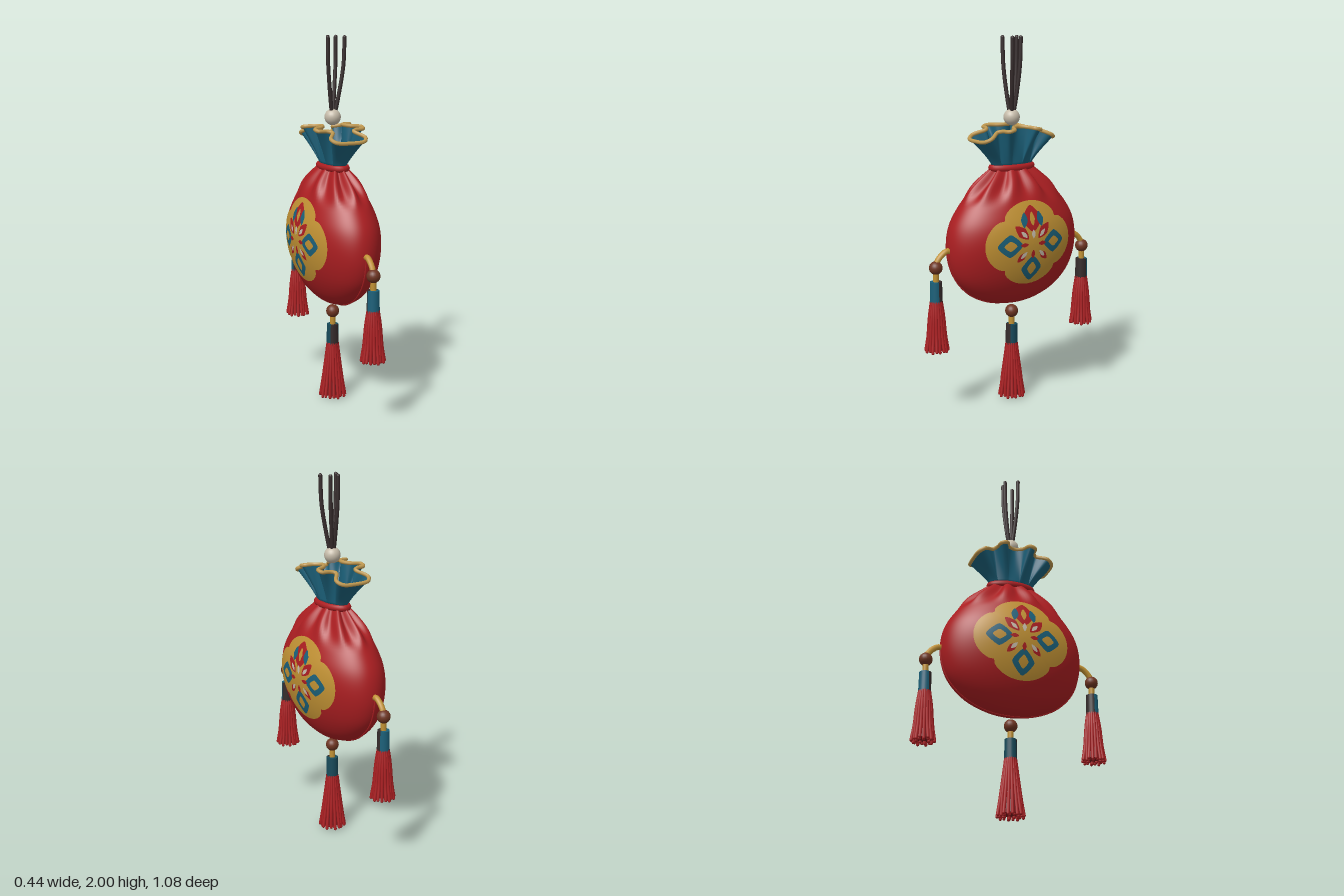
import * as THREE from 'three';

const mat = (name, color, side = THREE.FrontSide) => {
  const m = new THREE.MeshStandardMaterial({ color, side });
  m.name = name;
  return m;
};
const red = mat('red silk', 0xab1e21);
const darkRed = mat('deep red thread', 0x74181b);
const teal = mat('teal silk', 0x1b6079, THREE.DoubleSide);
const deepTeal = mat('deep teal', 0x174a5a);
const gold = mat('gold silk', 0xc29234);
const braid = mat('pale gold braid', 0xbf9850);
const brown = mat('wooden bead', 0x6e3522);
const dark = mat('dark cord', 0x352b2b);
const cream = mat('cream', 0xc6bcaa);

const V = (x, y, z) => new THREE.Vector3(x, y, z);

function add(parent, name, geometry, material) {
  const mesh = new THREE.Mesh(geometry, material);
  mesh.name = name;
  parent.add(mesh);
  return mesh;
}

function tube(parent, name, points, radius, material, closed = false, segs = 24) {
  const path = new THREE.CatmullRomCurve3(points, closed);
  return add(parent, name, new THREE.TubeGeometry(path, segs, radius, 8, closed), material);
}

// Surface closed in u, open in v; f(u, v) gives a point
function loft(nu, nv, f) {
  const pos = [], idx = [];
  for (let j = 0; j <= nv; j++) {
    for (let i = 0; i < nu; i++) pos.push(...f(i / nu, j / nv));
  }
  for (let j = 0; j < nv; j++) {
    for (let i = 0; i < nu; i++) {
      const a = j * nu + i, b = j * nu + (i + 1) % nu, c = a + nu, d = b + nu;
      idx.push(a, b, d, a, d, c);
    }
  }
  const g = new THREE.BufferGeometry();
  g.setAttribute('position', new THREE.Float32BufferAttribute(pos, 3));
  g.setIndex(idx);
  g.computeVertexNormals();
  return g;
}

// Pouch profile: half depth x, height y, half width z
const profile = new THREE.CatmullRomCurve3([
  [0, 0.55, 0], [0.043, 0.556, 0.09], [0.077, 0.577, 0.17], [0.125, 0.63, 0.27], [0.17, 0.72, 0.352],
  [0.199, 0.82, 0.388], [0.212, 0.92, 0.393], [0.206, 1.01, 0.374], [0.18, 1.1, 0.323],
  [0.145, 1.18, 0.254], [0.102, 1.25, 0.175], [0.056, 1.305, 0.112],
].map(p => V(...p)));

// Depth of the pouch wall at height y and width z
function wallX(y, z) {
  let lo = 0, hi = 1;
  for (let i = 0; i < 24; i++) {
    const m = (lo + hi) / 2;
    if (profile.getPoint(m).y < y) lo = m; else hi = m;
  }
  const p = profile.getPoint(lo);
  return p.x * Math.sqrt(Math.max(0, 1 - (z / p.z) ** 2));
}

// Thin star-shaped patch that follows the pouch wall on side s
function patch(parent, name, s, cy, cz, radius, lift, material, rings = 5) {
  add(parent, name, loft(64, rings, (u, v) => {
    const a = u * Math.PI * 2, [rz, ry] = radius(a);
    const y = cy + v * ry * Math.sin(a), z = cz + s * v * rz * Math.cos(a);
    return [s * (wallX(y, z) + lift), y, z];
  }), material);
}

// Leaf outline, pointed at both ends, turned by an angle
const leaf = (length, width, turn) => a => {
  const t = a - turn;
  const r = 1 / (Math.abs(Math.cos(t)) ** 1.4 / length + Math.abs(Math.sin(t)) ** 1.4 / width);
  return [r, r];
};

function embroidery(parent, s) {
  const g = new THREE.Group();
  g.name = s > 0 ? 'leftEmbroidery' : 'rightEmbroidery';
  parent.add(g);
  const cy = 0.918;
  patch(g, 'medallion', s, cy, 0, a => {
    const k = 0.83 + 0.17 * Math.abs(Math.cos(2 * a)) ** 0.6;
    return [0.265 * k, 0.228 * k];
  }, 0.004, gold, 16);
  const at = (r, q) => [cy + r * Math.sin(q), s * r * Math.cos(q)];
  for (let i = 0; i < 4; i++) {
    const t = i * Math.PI / 2, d = t + Math.PI / 4;
    const top = i === 1, upper = i < 2;
    patch(g, 'petal', s, ...at(0.135, t), leaf(0.07, 0.062, t), 0.006, top ? red : teal);
    patch(g, 'petalCentre', s, ...at(0.135, t), leaf(0.036, top ? 0.016 : 0.028, t), 0.0075, gold);
    patch(g, 'petalTip', s, ...at(0.055, t), leaf(0.024, 0.012, t), 0.0075, top ? cream : red);
    // Diagonal leaves, larger and red in the upper half
    patch(g, 'leaf', s, ...at(0.095, d), leaf(upper ? 0.052 : 0.036, upper ? 0.028 : 0.018, d), 0.0065, red);
    patch(g, 'leafTip', s, ...at(0.08, d), leaf(0.025, 0.011, d), 0.008, cream);
  }
  // Teal flanks of the top petal
  for (const m of [1, -1]) {
    const q = Math.PI / 2 + m * 0.36;
    patch(g, 'petalFlank', s, ...at(0.14, q), leaf(0.04, 0.02, q - m * 0.5), 0.0075, teal);
  }
}

// Bead, stem, two-tone band and skirt; the origin is the bead's centre.
// The coloured arc of the band is centred on angle turn, the rest is dark.
function tassel(parent, name, bottom, spread, colour, arc, turn) {
  const g = new THREE.Group();
  g.name = name;
  parent.add(g);
  add(g, 'bead', new THREE.SphereGeometry(0.036, 20, 14), brown);
  add(g, 'stem', new THREE.CylinderGeometry(0.016, 0.016, 0.07, 12), gold).position.y = -0.055;
  [[colour, turn - arc / 2, arc], [dark, turn + arc / 2, Math.PI * 2 - arc]].forEach(([m, start, length]) => {
    const band = new THREE.CylinderGeometry(0.032, 0.034, 0.115, 12, 1, false, start, length);
    add(g, 'band', band, m).position.y = -0.132;
  });
  const top = -0.18, h = top - bottom;
  add(g, 'core', new THREE.CylinderGeometry(0.026, spread * 0.78, h * 0.96, 16), darkRed)
    .position.y = top - h * 0.48;
  [[18, 1], [9, 0.6]].forEach(([n, k]) => {
    for (let i = 0; i < n; i++) {
      const a = i / n * Math.PI * 2, wob = 1 - 0.12 * (i % 3 === 1);
      const point = (r, y) => V(Math.sin(a) * r * k, y, Math.cos(a) * r * k);
      const end = point(spread * wob, bottom + (i % 2) * 0.006);
      tube(g, 'thread', [point(0.026, top), point(0.038, top - h * 0.3),
        point(spread * 0.79, top - h * 0.7), end], 0.0085, red, false, 8);
      add(g, 'threadEnd', new THREE.SphereGeometry(0.0085, 8, 6), red).position.copy(end);
    }
  });
  return g;
}

export function createModel() {
  const model = new THREE.Group();
  model.name = 'drawstringPouch';

  // Pouch body, gathered into folds towards the neck
  add(model, 'pouch', loft(120, 60, (u, v) => {
    const t = u * Math.PI * 2, p = profile.getPoint(v);
    const fold = 1 + 0.14 * THREE.MathUtils.smoothstep(p.y, 1.11, 1.25) * Math.cos(10 * t);
    return [p.x * Math.sin(t) * fold, p.y, p.z * Math.cos(t) * fold];
  }), red);

  // Slim piped seam along the lower edge
  const edge = profile.getPoints(24).filter(p => p.y < 0.89).map(p => V(0, p.y, p.z));
  const mirrored = edge.slice(1).reverse().map(p => V(0, p.y, -p.z));
  tube(model, 'seam', [...mirrored, ...edge], 0.005, red, false, 90);

  embroidery(model, 1);
  embroidery(model, -1);

  // Neck rope
  const ring = [];
  for (let i = 0; i < 24; i++) {
    const t = i / 24 * Math.PI * 2;
    ring.push(V(0.056 * Math.sin(t), 1.305, 0.122 * Math.cos(t)));
  }
  tube(model, 'neckRope', ring, 0.018, red, true, 64);

  // Ruffled collar with a closed floor, lofted from the neck to a wavy rim
  const quarter = [[0, 0.222], [0.08, 0.214], [0.1, 0.185], [0.062, 0.125], [0.085, 0.107],
    [0.132, 0.098], [0.136, 0.068], [0.085, 0.042], [0.062, 0]];
  const half = [...quarter, ...quarter.slice(0, -1).reverse().map(([x, z]) => [x, -z])];
  const rimPlan = [...half, ...half.slice(1, -1).reverse().map(([x, z]) => [-x, z])];
  const rimPoints = rimPlan.map(([x, z]) => V(x, 1.525 - 0.07 * (z / 0.222) ** 2, z));
  const rim = new THREE.CatmullRomCurve3(rimPoints, true);
  add(model, 'collar', loft(160, 14, (u, v) => {
    const p = rim.getPoint(u), t = Math.atan2(p.x * 1.8, p.z);
    if (v === 0) return [0, 1.338, 0];
    const w = (v * 14 - 1) / 13, k = w ** 1.15;
    return [THREE.MathUtils.lerp(0.056 * Math.sin(t), p.x, k),
      THREE.MathUtils.lerp(1.318, p.y, w),
      THREE.MathUtils.lerp(0.121 * Math.cos(t), p.z, k)];
  }), teal);
  tube(model, 'collarTrim', rimPoints, 0.0105, braid, true, 200);

  // Top bead and hanging cords
  add(model, 'topBead', new THREE.SphereGeometry(0.044, 24, 16), cream).position.y = 1.57;
  [[-0.043, 0.03], [-0.01, -0.038], [0.035, -0.035], [0.055, 0.03]].forEach(([x, z]) => {
    tube(model, 'cord', [V(x * 0.2, 1.59, z * 0.2), V(x * 0.45, 1.67, z * 0.5), V(x * 0.9, 1.84, z * 0.9),
      V(x, 1.99, z)], 0.011, dark);
    add(model, 'cordEnd', new THREE.SphereGeometry(0.011, 8, 6), dark).position.set(x, 1.989, z);
  });

  // Side tassels on sloping gold loops, and one below
  for (const s of [1, -1]) {
    const t = tassel(model, s > 0 ? 'frontTassel' : 'backTassel', -0.452, 0.06, teal, Math.PI, s > 0 ? 0 : 0.4);
    t.position.set(0, 0.806, s * 0.472);
    t.rotation.y = s > 0 ? 0 : Math.PI;
    tube(t, 'loop', [V(0, 0.07, -0.1), V(0, 0.082, -0.07), V(0, 0.063, -0.035), V(0, 0.03, -0.008),
      V(0, 0, 0)], 0.016, gold);
  }
  const low = tassel(model, 'bottomTassel', -0.487, 0.069, deepTeal, Math.PI * 1.5, Math.PI);
  low.position.y = 0.495;

  return model;
}
